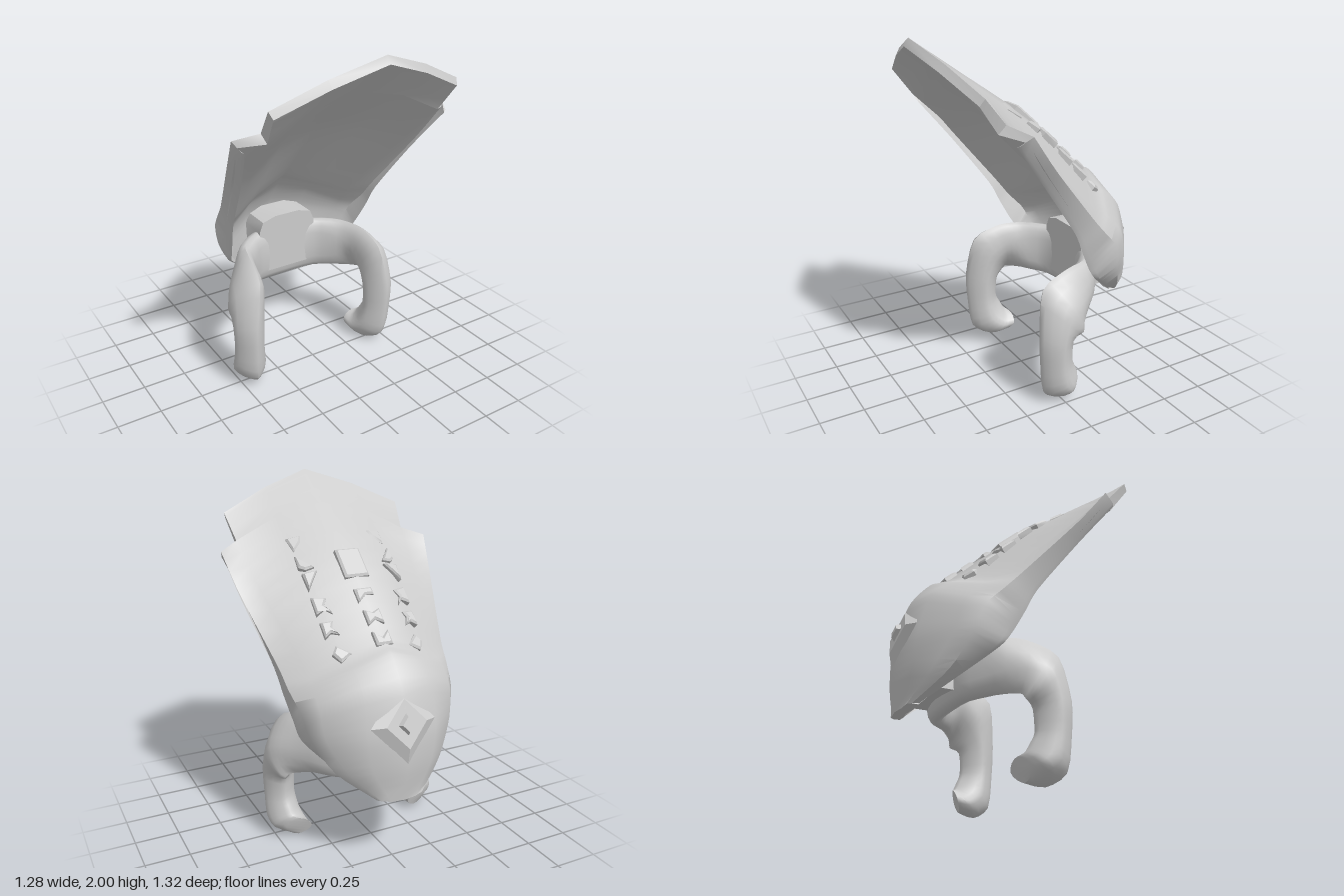
import * as THREE from 'three';
import { toCreasedNormals } from 'three/addons/utils/BufferGeometryUtils.js';

const grey = new THREE.MeshStandardMaterial({ color: 0xcccccc });
grey.name = 'lightGrey';

const V = (a) => new THREE.Vector3(...a);
const flip = ([x, y, z]) => [-x, y, z];

function part(name, geometry, crease = 0.7) {
  const mesh = new THREE.Mesh(toCreasedNormals(geometry, crease), grey);
  mesh.name = name;
  return mesh;
}

// Smoothly resample a list of points
function resample(points, steps) {
  const curve = new THREE.CatmullRomCurve3(points.map(V), false, 'catmullrom', 0.4);
  const n = (points.length - 1) * steps;
  return Array.from({ length: n + 1 }, (_, i) => curve.getPoint(i / n));
}

// Skin a list of closed rings and cap both ends
function loft(rings) {
  const n = rings[0].length, m = rings.length, index = [];
  const quad = (a, b, c, d) => index.push(a, b, c, a, c, d);
  for (let i = 0; i < m - 1; i++) for (let k = 0; k < n; k++) {
    const k2 = (k + 1) % n;
    quad(i * n + k, i * n + k2, (i + 1) * n + k2, (i + 1) * n + k);
  }
  const e = (m - 1) * n;
  for (let k = 0; k < n / 2 - 1; k++) {
    quad(k, n - 1 - k, n - 2 - k, k + 1);
    quad(e + k, e + k + 1, e + n - 2 - k, e + n - 1 - k);
  }
  const g = new THREE.BufferGeometry();
  g.setAttribute('position', new THREE.Float32BufferAttribute(rings.flat().flatMap((p) => p.toArray()), 3));
  g.setIndex(index);
  return g;
}

// Curved plate: each row runs from the centre line to the right-hand edge
function plate(rows, offsets, thin, steps) {
  const cols = rows[0].map((_, j) => resample(rows.map((r) => r[j]), steps));
  const off = resample(offsets, steps);
  const rings = off.map((o, i) => {
    const half = cols.map((c) => c[i]);
    const mir = (a) => [...a.slice(1).reverse().map((p) => V(flip(p.toArray()))), ...a];
    const inner = half.map((p, j) => p.clone().addScaledVector(o, thin[j]).multiply(V([0.975, 1, 1])));
    return [...mir(half), ...mir(inner).reverse()];
  });
  return loft(rings);
}

// Raised stud from an outline given as [x, z] in plan
function stud(outline) {
  const n = outline.length;
  const cx = outline.reduce((s, p) => s + p[0], 0) / n;
  const cz = outline.reduce((s, p) => s + p[1], 0) / n;
  const side = Math.abs(cx) > 0.1 ? Math.sign(cx) : 0;
  const slope = cz > 0.02 ? 0.7 : 0.92, tilt = Math.atan(slope);
  const pts = outline.map(([x, z]) => new THREE.Vector2(x - cx, (cz - z) / Math.cos(tilt)));
  const g = new THREE.ExtrudeGeometry(new THREE.Shape(pts), {
    depth: 0.03, bevelEnabled: true, bevelThickness: 0.01, bevelSize: 0.012, bevelOffset: -0.01, bevelSegments: 1,
  });
  g.translate(0, 0, -0.028);
  const mesh = part('stud', g, 0.5);
  const drop = side ? 0.05 + 0.15 * Math.max(0, -cz) : 0;
  mesh.position.set(cx, 1.55 + slope * cz - drop, cz);
  mesh.rotation.set(-(Math.PI / 2 + tilt), side * 0.2, 0);
  return mesh;
}

export function createModel() {
  const model = new THREE.Group();
  model.name = 'hoodedCuff';

  // Top panel that stands out above the wings
  const joint = [[0, 1.83, 0.39], [0.28, 1.77, 0.38], [0.525, 1.65, 0.38]];
  model.add(part('topPanel', plate(
    [[[0, 2, 0.63], [0.28, 1.91, 0.57], [0.55, 1.79, 0.5]], joint],
    [[0, -0.04, 0.025], [0, -0.05, 0.04]], [1, 1, 0.9], 3)));

  // Long shield with rolled side wings and a rounded tail
  const rows = [
    [...joint, [0.64, 1.61, 0.3], [0.62, 1.57, 0.36]],
    [[0, 1.55, 0], [0.25, 1.5, 0.02], [0.475, 1.4, 0.11], [0.595, 1.4, 0.14], [0.55, 1.33, 0.17]],
    [[0, 1.22, -0.36], [0.22, 1.14, -0.33], [0.39, 1.08, -0.24], [0.505, 1.08, -0.14], [0.49, 1.03, -0.06]],
    [[0, 1.16, -0.46], [0.2, 1.09, -0.43], [0.39, 1.01, -0.33], [0.485, 0.97, -0.24], [0.47, 0.9, -0.13]],
    [[0, 1.02, -0.57], [0.2, 0.99, -0.53], [0.39, 0.9, -0.42], [0.455, 0.86, -0.34], [0.445, 0.77, -0.2]],
    [[0, 0.8, -0.64], [0.2, 0.77, -0.59], [0.37, 0.74, -0.46], [0.42, 0.72, -0.38], [0.42, 0.67, -0.26]],
    [[0, 0.6, -0.65], [0.17, 0.58, -0.6], [0.27, 0.56, -0.53], [0.32, 0.55, -0.46], [0.28, 0.53, -0.42]],
    [[0, 0.4, -0.62], [0.07, 0.4, -0.61], [0.12, 0.41, -0.6], [0.14, 0.41, -0.58], [0.13, 0.42, -0.55]],
  ];
  const offsets = [[0, -0.05, 0.04], [0, -0.06, 0.05], [0, -0.09, 0.08], [0, -0.1, 0.1],
    [0, -0.07, 0.13], [0, 0.02, 0.13], [0, 0.03, 0.12], [0, 0, 0.06]];
  model.add(part('shield', plate(rows, offsets, [1, 1, 0.9, 0.6, 0.2], 4), 0.8));

  // Stepped diamond boss on the tail
  const boss = new THREE.Group();
  boss.name = 'tailBoss';
  boss.position.set(0, 0.83, -0.612);
  boss.rotation.x = -1.29;
  [[0.13, 0.21, 0.04, 0], [0.04, 0.07, 0.04, 0.022]].forEach(([top, base, h, y], i) => {
    const step = part(i ? 'diamondStud' : 'diamondStep', new THREE.CylinderGeometry(top, base, h, 4), 0.3);
    step.position.y = y;
    step.scale.x = 0.9;
    boss.add(step);
  });
  model.add(boss);

  // Studs: mirrored side columns and a centre column
  const sideStuds = [
    [[0.17, -0.335], [0.235, -0.36], [0.265, -0.32], [0.235, -0.29]],
    [[0.2, -0.255], [0.24, -0.24], [0.275, -0.255], [0.275, -0.19], [0.21, -0.195], [0.225, -0.22]],
    [[0.2, -0.17], [0.23, -0.145], [0.28, -0.16], [0.28, -0.085], [0.205, -0.1], [0.23, -0.13]],
    [[0.28, -0.06], [0.285, 0.015], [0.205, 0.015]],
    [[0.21, 0.04], [0.26, 0.035], [0.29, 0.055], [0.285, 0.12]],
    [[0.275, 0.155], [0.29, 0.235], [0.205, 0.235], [0.22, 0.2]],
  ];
  const centreStuds = [
    [[-0.07, -0.07], [0.07, -0.07], [0.07, 0.065], [-0.07, 0.065]],
    [[-0.05, -0.13], [0.05, -0.13], [0.05, -0.19], [0, -0.16], [-0.05, -0.16]],
    [[-0.045, -0.295], [0, -0.275], [0.045, -0.295], [0.045, -0.23], [0, -0.245], [-0.045, -0.23]],
    [[-0.045, -0.39], [0.045, -0.39], [0.045, -0.33], [0, -0.36], [-0.045, -0.33]],
  ];
  for (const s of sideStuds) model.add(stud(s), stud(s.map(([x, z]) => [-x, z])));
  for (const s of centreStuds) model.add(stud(s));

  // Cuff: stations of centre, height half-axis, thickness half-axis
  const stations = [
    [[0, 0.595, -0.36], [0, 0.175, 0], [0, 0, 0.05]],
    [[0.2, 0.6, -0.32], [0, 0.16, 0], [-0.02, 0, 0.05]],
    [[0.33, 0.605, -0.21], [0, 0.155, 0], [-0.05, 0, 0.04]],
    [[0.41, 0.595, -0.1], [-0.03, 0.16, 0.04], [-0.08, 0, 0.01]],
    [[0.44, 0.54, -0.01], [-0.035, 0.14, 0.11], [-0.095, -0.01, 0]],
    [[0.45, 0.4, 0.035], [0, 0.03, 0.107], [-0.095, 0, 0]],
    [[0.45, 0.25, 0.035], [0, 0, 0.1], [-0.09, 0, 0]],
    [[0.44, 0.13, 0.01], [0, -0.06, 0.1], [-0.1, 0, 0]],
    [[0.42, 0.075, -0.05], [-0.01, -0.075, 0.06], [-0.1, 0, -0.01]],
    [[0.39, 0.075, -0.11], [0, -0.06, 0.02], [-0.07, 0, -0.02]],
  ];
  const path = [...stations.slice(1).reverse().map((s) => s.map(flip)), ...stations];
  const [mid, tall, wide] = [0, 1, 2].map((k) => resample(path.map((s) => s[k]), 3));
  const round = (t, e) => Math.sign(t) * Math.abs(t) ** e;
  model.add(part('cuff', loft(mid.map((c, i) => Array.from({ length: 16 }, (_, k) => {
    const a = (k / 16) * Math.PI * 2;
    // Flat band behind, softly diamond-shaped legs in front
    const e = 0.7 + 0.65 * THREE.MathUtils.smoothstep(Math.abs(c.x), 0.25, 0.44);
    return c.clone().addScaledVector(tall[i], round(Math.cos(a), e)).addScaledVector(wide[i], round(Math.sin(a), e));
  }))), 0.9));

  // Raised tab that joins the cuff to the shield
  const tab = new THREE.Shape([[-0.18, 0.5], [0.18, 0.5], [0.19, 0.77], [0.165, 0.83], [0.08, 0.855],
    [-0.08, 0.855], [-0.165, 0.83], [-0.19, 0.77]].map((p) => new THREE.Vector2(...p)));
  const joinTab = part('joiningTab', new THREE.ExtrudeGeometry(tab, { depth: 0.18, bevelEnabled: false }));
  joinTab.position.z = -0.47;
  model.add(joinTab);

  return model;
}
